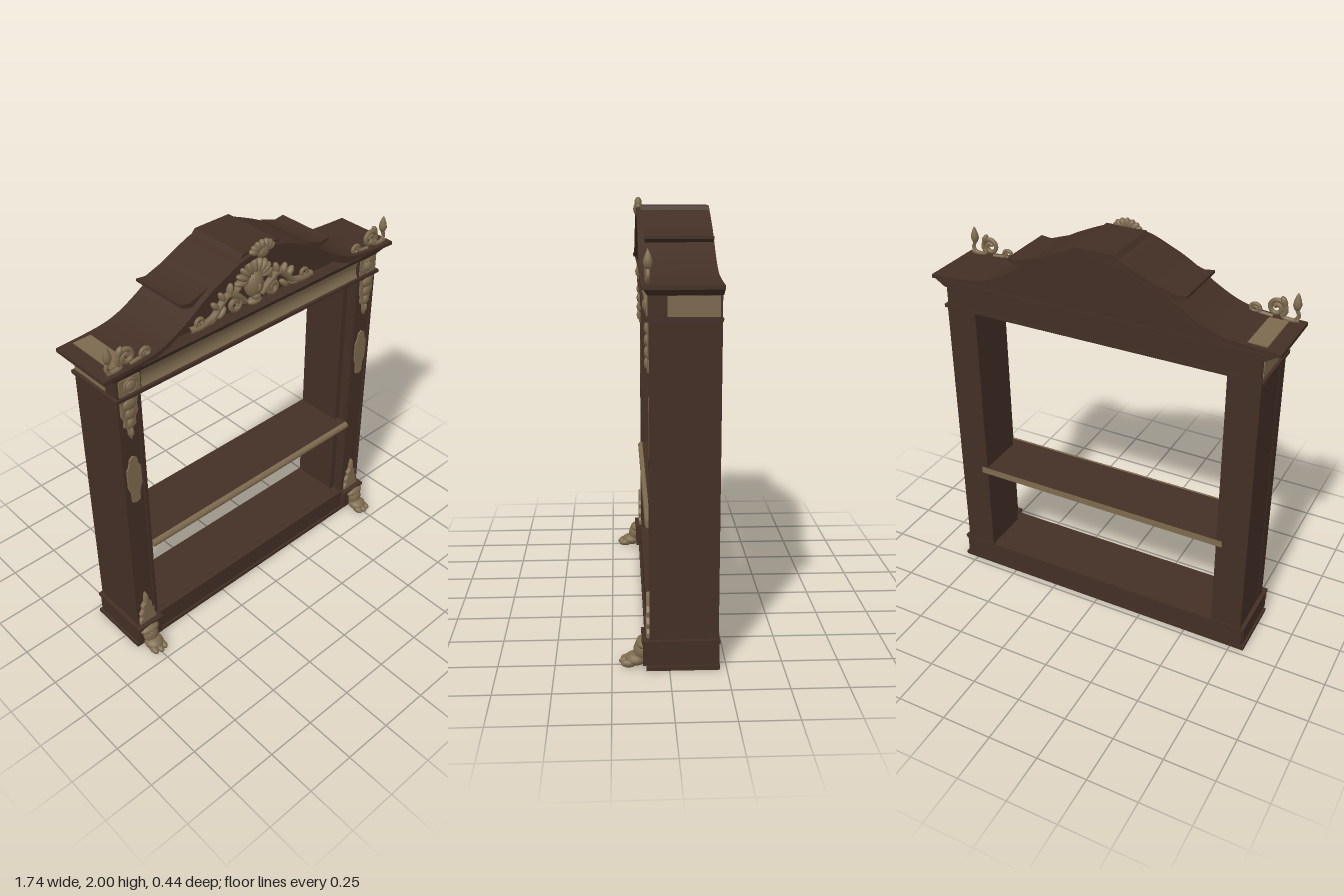
import * as THREE from 'three';
import { toCreasedNormals } from 'three/addons/utils/BufferGeometryUtils.js';

const mat = (name, color) => {
  const m = new THREE.MeshStandardMaterial({ color });
  m.name = name;
  return m;
};

export function createModel() {
  const brown = mat('walnut brown', 0x432f25);
  const tan = mat('antique tan', 0x7d6a4e);
  const root = new THREE.Group();
  root.name = 'displayFrame';

  const add = (name, geo, material, parent = root) => {
    const m = new THREE.Mesh(geo, material);
    m.name = name;
    parent.add(m);
    return m;
  };
  const box = (name, x0, x1, y0, y1, z0, z1, material, parent) => {
    const g = new THREE.BoxGeometry(x1 - x0, y1 - y0, z1 - z0);
    g.translate((x0 + x1) / 2, (y0 + y1) / 2, (z0 + z1) / 2);
    return add(name, g, material, parent);
  };
  // Box whose upper side spreads outwards on the ends and front
  const flare = (name, y0, y1, half0, half1, front0, front1, material) => {
    const g = new THREE.BoxGeometry(2, 1, 1).toNonIndexed();
    const p = g.attributes.position;
    for (let i = 0; i < p.count; i++) {
      const up = p.getY(i) > 0;
      p.setXYZ(i, p.getX(i) * (up ? half1 : half0), up ? y1 : y0,
        p.getZ(i) > 0 ? (up ? front1 : front0) : -0.218);
    }
    g.computeVertexNormals();
    return add(name, g, material);
  };
  const shapeOf = (pts) => new THREE.Shape(pts.map(([x, y]) => new THREE.Vector2(x, y)));
  const slab = (name, pts, z0, z1, material, parent, bevel = 0) => {
    const g = new THREE.ExtrudeGeometry(shapeOf(pts), {
      depth: z1 - z0 - bevel, bevelEnabled: bevel > 0, bevelSize: bevel * 0.6,
      bevelOffset: -bevel * 0.6, bevelThickness: bevel, bevelSegments: 2,
    });
    g.translate(0, 0, z0);
    return add(name, toCreasedNormals(g, 0.6), material, parent);
  };
  // Profile given as (z, y), swept along x
  const sweepX = (name, pts, x0, x1, material) => {
    const g = new THREE.ExtrudeGeometry(shapeOf(pts), { depth: x1 - x0, bevelEnabled: false });
    g.rotateY(-Math.PI / 2).translate(x1, 0, 0);
    return add(name, toCreasedNormals(g, 0.7), material);
  };
  const ball = (name, x, y, z, rx, ry, rz, parent, turn = 0) => {
    const m = add(name, new THREE.SphereGeometry(1, 16, 10), tan, parent);
    m.position.set(x, y, z);
    m.scale.set(rx, ry, rz);
    m.rotation.z = turn;
    return m;
  };
  const tube = (name, pts, r, parent) => {
    const c = new THREE.CatmullRomCurve3(pts.map(([x, y, z]) => new THREE.Vector3(x, y, z)));
    return add(name, new THREE.TubeGeometry(c, 40, r, 8), tan, parent);
  };
  const spiral = (cx, cy, z, r0, r1, a0, turns, n = 16) => Array.from({ length: n + 1 }, (_, i) => {
    const t = i / n, r = r0 + (r1 - r0) * t, a = a0 + turns * Math.PI * 2 * t;
    return [cx + Math.cos(a) * r, cy + Math.sin(a) * r, z];
  });
  const mirrorY = (cx, half) => [
    ...half.map(([x, y]) => [cx + x, y]),
    ...half.slice().reverse().map(([x, y]) => [cx - x, y]),
  ];

  // Base
  box('plinth', -0.82, 0.82, 0, 0.02, -0.22, 0.1, brown);
  box('baseRail', -0.805, 0.805, 0.02, 0.13, -0.218, 0.09, brown);

  // Shelf: plain top, tan edges and underside
  box('shelf', -0.67, 0.67, 0.6, 0.636, -0.22, 0.085, [tan, tan, brown, tan, tan, tan]);
  const nose = new THREE.CylinderGeometry(0.019, 0.019, 1.34, 12).rotateZ(Math.PI / 2);
  add('shelfNose', nose, tan).position.set(0, 0.618, 0.083);

  // Frieze with a hollowed front
  box('friezeBody', -0.79, 0.79, 1.535, 1.635, -0.215, 0.06, brown);
  sweepX('friezeCove', [[0.05, 1.54], [0.088, 1.54], [0.078, 1.555], [0.074, 1.58],
    [0.078, 1.605], [0.09, 1.63], [0.05, 1.63]], -0.67, 0.67, tan);
  box('lowerFillet', -0.81, 0.81, 1.522, 1.538, -0.218, 0.1, brown);
  flare('corniceCove', 1.63, 1.662, 0.8, 0.85, 0.092, 0.112, brown);

  // Arched pediment
  const half = [[0, 1.96], [0.11, 1.945], [0.2, 1.91], [0.3, 1.862], [0.38, 1.81],
    [0.45, 1.765], [0.55, 1.715], [0.66, 1.69], [0.87, 1.678]];
  const knots = [...half.slice(1).reverse().map(([x, y]) => [-x, y]), ...half];
  const arch = new THREE.SplineCurve(knots.map(([x, y]) => new THREE.Vector2(x, y)))
    .getPoints(64).map((p) => [p.x, p.y]);
  const band = (a, b, limit) => {
    const pts = arch.filter(([x]) => Math.abs(x) <= limit);
    return [...pts.map(([x, y]) => [x, y - a]),
      ...pts.slice().reverse().map(([x, y]) => [x, Math.max(y - b, 1.655)])];
  };
  slab('archRoof', band(0, 0.018, 0.88), -0.216, 0.12, brown);
  slab('archMoulding', band(0.016, 0.042, 0.85), -0.21, 0.105, brown);
  slab('tympanum', band(0.03, 0.6, 0.8), -0.214, 0.045, brown);
  slab('crownStep', [[-0.12, 1.94], [0.12, 1.94], [0.1, 1.963], [-0.1, 1.963]], -0.216, 0.1, brown);
  box('roofPatch', -0.8, -0.71, 1.682, 1.688, -0.19, 0.07, tan);

  // Crest shell on the arch
  const crest = new THREE.Group();
  crest.name = 'crestShell';
  root.add(crest);
  for (let i = -3; i <= 3; i++) {
    const a = i * 0.42;
    ball('crestLobe', Math.sin(a) * 0.05, 1.945 + Math.cos(a) * 0.03, 0.11, 0.016, 0.026, 0.017, crest, -a);
  }
  ball('crestHeart', 0, 1.945, 0.115, 0.035, 0.028, 0.018, crest);

  // Carved mask in the tympanum
  const mask = new THREE.Group();
  mask.name = 'mask';
  root.add(mask);
  ball('face', 0, 1.765, 0.06, 0.05, 0.07, 0.04, mask);
  ball('nose', 0, 1.758, 0.098, 0.009, 0.02, 0.01, mask);
  ball('chin', 0, 1.71, 0.075, 0.024, 0.02, 0.022, mask);
  for (let i = -4; i <= 4; i++) {
    const a = i * 0.36;
    ball('headLeaf', Math.sin(a) * 0.075, 1.785 + Math.cos(a) * 0.065, 0.06, 0.016, 0.038, 0.022, mask, -a);
  }
  ball('pendant', 0, 1.68, 0.065, 0.04, 0.018, 0.025, mask);

  for (const s of [1, -1]) {
    const side = new THREE.Group();
    side.name = s > 0 ? 'leftSide' : 'rightSide';
    root.add(side);
    // Mirrored ranges and points
    const b = (name, x0, x1, ...rest) => box(name, Math.min(s * x0, s * x1), Math.max(s * x0, s * x1), ...rest, side);
    const mx = (pts) => pts.map(([x, ...r]) => [s * x, ...r]);
    const cx = s * 0.738;

    // Post with a rebate and a framed front
    b('postBody', 0.64, 0.795, 0.13, 1.525, -0.215, 0.03, brown);
    b('pilaster', 0.67, 0.797, 0.13, 1.525, 0.02, 0.078, brown);
    b('innerBead', 0.672, 0.69, 0.13, 1.525, 0.07, 0.086, brown);
    b('outerBead', 0.785, 0.797, 0.13, 1.525, 0.07, 0.086, brown);
    b('footBlock', 0.67, 0.81, 0.02, 0.125, -0.2, 0.115, brown);
    b('footBlockCap', 0.665, 0.815, 0.12, 0.135, -0.22, 0.12, brown);

    // Corner block and rosette
    b('cornerBlock', 0.668, 0.794, 1.535, 1.635, -0.21, 0.09, brown);
    b('cornerFace', 0.676, 0.786, 1.545, 1.625, 0.09, 0.096, tan);
    b('cornerSide', 0.792, 0.798, 1.542, 1.628, -0.205, 0.01, tan);
    const ring = add('rosetteRing', new THREE.TorusGeometry(0.033, 0.006, 8, 24), tan, side);
    ring.position.set(s * 0.728, 1.585, 0.097);
    ball('rosette', s * 0.728, 1.585, 0.096, 0.028, 0.028, 0.016, side);

    // Hanging leaf below the capital
    slab('hangingLeaf', mirrorY(cx, [[0, 1.3], [0.013, 1.33], [0.013, 1.36], [0.032, 1.375], [0.03, 1.41],
      [0.046, 1.44], [0.042, 1.48], [0.052, 1.52]]), 0.07, 0.093, tan, side, 0.008);
    [[1.49, 0.036], [1.44, 0.028], [1.39, 0.021], [1.345, 0.011]].forEach(([y, r]) =>
      ball('leafBoss', cx, y, 0.09, r, 0.028, 0.015, side));

    // Thin cartouche
    slab('cartouche', mirrorY(cx, [[0, 0.93], [0.022, 0.94], [0.024, 0.99], [0.038, 1.03], [0.038, 1.13],
      [0.026, 1.15], [0.02, 1.185], [0, 1.2]]), 0.078, 0.086, tan, side);

    // Rising leaf at the bottom
    slab('risingLeaf', mirrorY(cx, [[0, 0.138], [0.05, 0.138], [0.05, 0.16], [0.036, 0.175], [0.044, 0.2],
      [0.026, 0.225], [0.03, 0.25], [0.013, 0.27], [0.01, 0.31], [0, 0.335]]), 0.07, 0.1, tan, side, 0.008);

    // Paw foot
    const px = s * 0.75;
    ball('pawCuff', px, 0.105, 0.115, 0.054, 0.024, 0.03, side);
    ball('pawAnkle', px, 0.07, 0.12, 0.042, 0.05, 0.036, side);
    ball('pawPad', px, 0.03, 0.145, 0.048, 0.03, 0.05, side);
    for (const t of [-1, 0, 1]) ball('toe', px + t * 0.028, 0.018, 0.185 - Math.abs(t) * 0.008, 0.017, 0.018, 0.035, side);

    // Scrolls and finial on the cornice
    tube('largeScroll', mx([[0.84, 1.69, 0.09], [0.8, 1.685, 0.09], ...spiral(0.735, 1.73, 0.09, 0.045, 0.01, -0.9, 1.6)]), 0.011, side);
    tube('smallScroll', mx([[0.72, 1.685, 0.09], [0.68, 1.69, 0.09], ...spiral(0.635, 1.705, 0.09, 0.027, 0.007, -0.5, 1.4)]), 0.009, side);
    ball('scrollLeaf', s * 0.765, 1.765, 0.09, 0.014, 0.026, 0.014, side, s * 0.5);
    tube('finialStem', mx([[0.78, 1.685, 0.09], [0.82, 1.69, 0.09], [0.835, 1.71, 0.09], [0.825, 1.74, 0.09]]), 0.009, side);
    const bud = new THREE.LatheGeometry([[0, 0], [0.012, 0.004], [0.02, 0.025], [0.017, 0.045], [0.008, 0.07], [0, 0.085]]
      .map(([x, y]) => new THREE.Vector2(x, y)), 12);
    add('finialBud', bud, tan, side).position.set(s * 0.825, 1.735, 0.09);

    // Upturned slat on the roof
    const slat = mx([[0.29, 1.872], [0.39, 1.838], [0.44, 1.845], [0.44, 1.832], [0.4, 1.815], [0.36, 1.815]]);
    slab('roofSlat', slat, -0.21, 0.09, brown, side);

    // Leaf scrolls beside the mask
    tube('vine', mx([[0.05, 1.69, 0.055], [0.1, 1.74, 0.06], [0.15, 1.765, 0.06], [0.2, 1.73, 0.06],
      [0.24, 1.69, 0.06], [0.31, 1.672, 0.06], [0.37, 1.672, 0.055]]), 0.016, side);
    tube('vineCurl', mx(spiral(0.115, 1.705, 0.062, 0.04, 0.01, 1.2, 1.5)), 0.012, side);
    tube('vineTip', mx(spiral(0.315, 1.695, 0.06, 0.027, 0.007, -1.5, 1.3)), 0.009, side);
    [[0.09, 1.78, 0.6], [0.14, 1.785, 0.2], [0.185, 1.765, -0.5], [0.225, 1.735, -0.7], [0.19, 1.69, 0.8], [0.25, 1.675, 1.3]]
      .forEach(([x, y, a]) => ball('vineLeaf', s * x, y, 0.058, 0.015, 0.032, 0.018, side, s * a));
  }
  return root;
}
